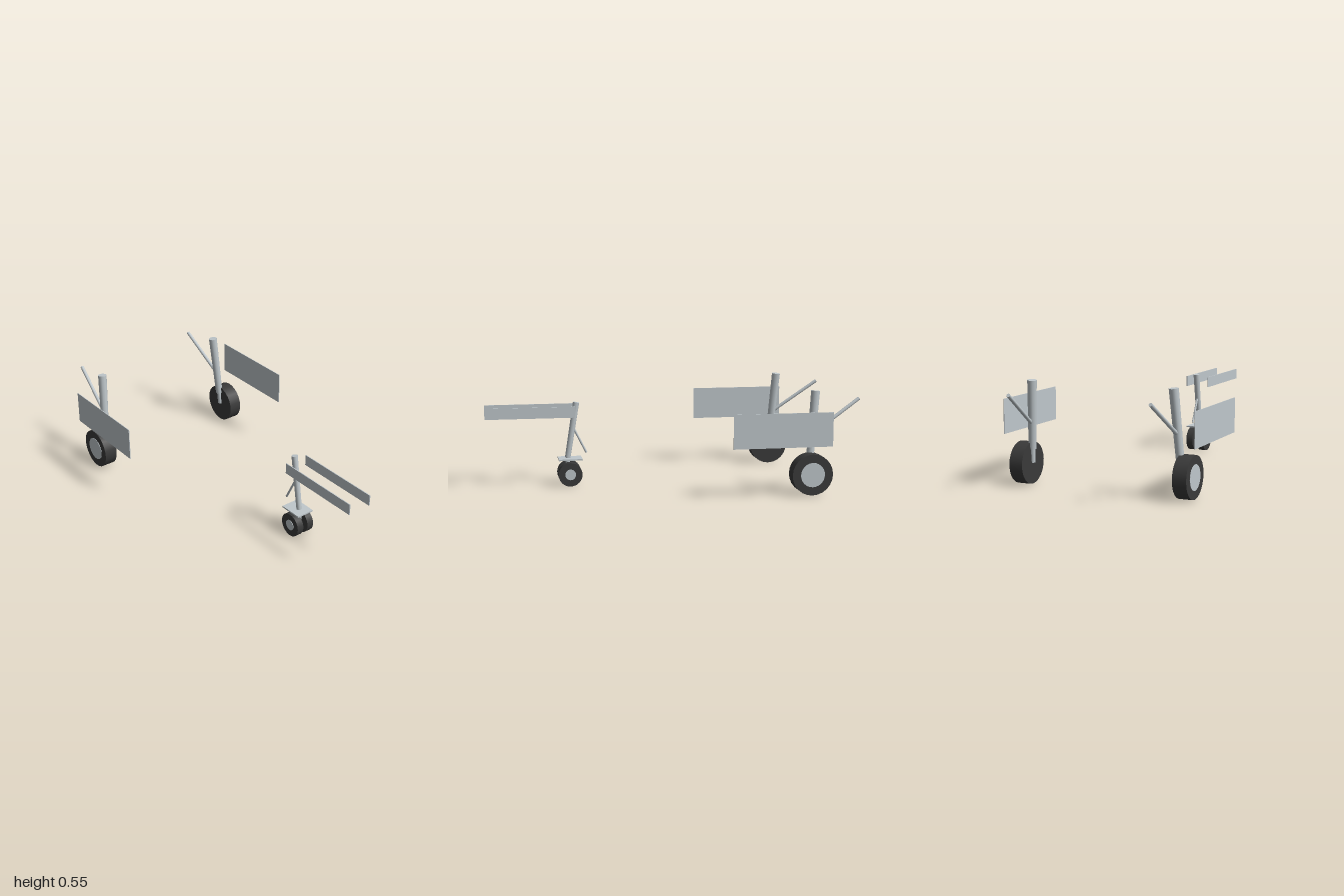
import * as THREE from 'three';

const metal = new THREE.MeshStandardMaterial({ color: 0xc0c8cc });
metal.name = 'pale grey metal';
const rubber = new THREE.MeshStandardMaterial({ color: 0x3a3a3a });
rubber.name = 'dark rubber';

function add(parent, name, geometry, material) {
  const mesh = new THREE.Mesh(geometry, material);
  mesh.name = name;
  parent.add(mesh);
  return mesh;
}

// Round bar running from a (radius ra) to b (radius rb)
function rod(parent, name, a, b, ra, rb = ra, sides = 10) {
  const start = new THREE.Vector3(...a), end = new THREE.Vector3(...b);
  const dir = end.clone().sub(start);
  const mesh = add(parent, name, new THREE.CylinderGeometry(rb, ra, dir.length(), sides), metal);
  mesh.position.copy(start).add(end).multiplyScalar(0.5);
  mesh.quaternion.setFromUnitVectors(new THREE.Vector3(0, 1, 0), dir.normalize());
}

function plate(parent, name, size, pos) {
  add(parent, name, new THREE.BoxGeometry(...size), metal).position.set(...pos);
}

// Tyre with a flat hub disc on its outer face
function wheel(parent, side, x, z, radius, width, hubRadius) {
  const group = new THREE.Group();
  group.name = 'wheel';
  group.position.set(side * x, radius, z);
  add(group, 'tyre', new THREE.CylinderGeometry(radius, radius, width, 24), rubber).rotation.z = Math.PI / 2;
  const hub = add(group, 'hub', new THREE.CylinderGeometry(hubRadius, hubRadius, 0.004, 24), metal);
  hub.rotation.z = Math.PI / 2;
  hub.position.x = side * width / 2;
  parent.add(group);
}

export function createModel() {
  const model = new THREE.Group();
  model.name = 'landingGear';

  // Main gear, mirrored left and right
  for (const s of [1, -1]) {
    const main = new THREE.Group();
    main.name = s > 0 ? 'leftMainGear' : 'rightMainGear';
    wheel(main, s, 0.457, -0.71, 0.111, 0.075, 0.066);
    rod(main, 'mainStrut', [s * 0.418, 0.187, -0.714], [s * 0.396, 0.55, -0.745], 0.021, 0.025);
    rod(main, 'mainPiston', [s * 0.422, 0.113, -0.708], [s * 0.418, 0.2, -0.715], 0.015);
    rod(main, 'dragBrace', [s * 0.41, 0.32, -0.728], [s * 0.386, 0.502, -0.992], 0.01, 0.01, 8);
    plate(main, 'mainDoor', [0.004, 0.183, 0.537], [s * 0.531, 0.361, -0.536]);
    model.add(main);
  }

  // Nose gear with twin wheels
  const nose = new THREE.Group();
  nose.name = 'noseGear';
  rod(nose, 'noseStrut', [0, 0.155, 0.549], [0, 0.462, 0.499], 0.0155, 0.0175);
  rod(nose, 'nosePiston', [0, 0.062, 0.555], [0, 0.17, 0.546], 0.012);
  rod(nose, 'noseAxle', [-0.03, 0.066, 0.54], [0.03, 0.066, 0.54], 0.008);
  rod(nose, 'noseBrace', [0, 0.32, 0.515], [0, 0.18, 0.445], 0.006, 0.006, 8);
  plate(nose, 'forkPlate', [0.102, 0.008, 0.13], [0, 0.148, 0.536]);
  for (const s of [1, -1]) {
    wheel(nose, s, 0.034, 0.539, 0.066, 0.039, 0.03);
    plate(nose, 'noseDoor', [0.005, 0.06, 0.487], [s * 0.067, 0.417, 0.756]);
  }
  model.add(nose);
  return model;
}
